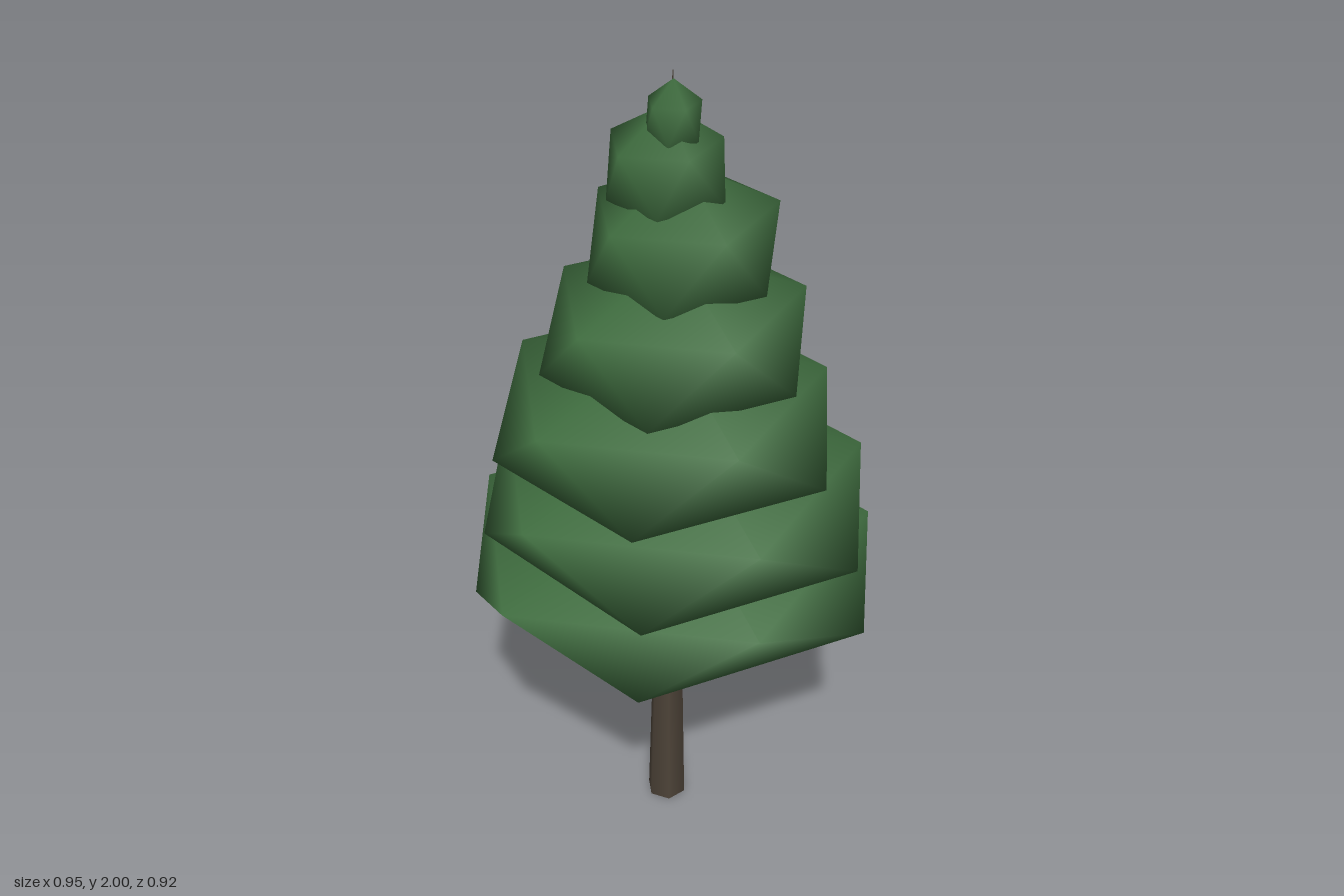
import * as THREE from 'three';

const foliageMat = new THREE.MeshStandardMaterial({ color: 0x3f6d3f });
foliageMat.name = 'foliage green';
const barkMat = new THREE.MeshStandardMaterial({ color: 0x4d4338 });
barkMat.name = 'bark brown';

// Boughs from bottom to top. Rings are [centre x, centre z, radius x, radius z].
const boughs = [
  { y: 0.762, h: 0.19, upper: [-0.02, 0.015, 0.495, 0.468], lower: [0.02, -0.015, 0.495, 0.468] },
  { y: 0.972, h: 0.205, upper: [-0.005, 0.035, 0.445, 0.426], lower: [0.016, 0.025, 0.461, 0.436] },
  { y: 1.197, h: 0.205, upper: [-0.025, 0.052, 0.37, 0.355], lower: [-0.015, 0.055, 0.4, 0.363] },
  { y: 1.4, h: 0.19, upper: [0.008, 0.025, 0.287, 0.273], lower: [0.001, 0.042, 0.301, 0.276] },
  { y: 1.6, h: 0.185, upper: [0.025, -0.002, 0.21, 0.197], lower: [0.022, 0.005, 0.207, 0.19] },
  { y: 1.775, h: 0.145, upper: [-0.017, 0.002, 0.127, 0.118], lower: [-0.005, 0.002, 0.135, 0.118] },
  { y: 1.898, h: 0.088, upper: [0, 0.03, 0.059, 0.055], lower: [0, 0.03, 0.059, 0.055] },
];

// Squashed icosahedron: two poles and two staggered five-point rings
function boughGeometry({ y, h, upper, lower }) {
  const cx = (upper[0] + lower[0]) / 2;
  const cz = (upper[1] + lower[1]) / 2;
  const pos = [cx, y + h, cz];
  const ring = ([x, z, rx, rz], height, turn) => {
    for (let i = 0; i < 5; i++) {
      const a = (i + turn) * Math.PI * 0.4;
      pos.push(x + rx * Math.cos(a), height, z + rz * Math.sin(a));
    }
  };
  ring(upper, y + h * 0.447, 0);
  ring(lower, y - h * 0.447, 0.5);
  pos.push(cx, y - h, cz);

  const index = [];
  for (let i = 0; i < 5; i++) {
    const j = (i + 1) % 5;
    const u = 1 + i, un = 1 + j, l = 6 + i, ln = 6 + j;
    index.push(0, un, u, u, un, l, l, un, ln, 11, l, ln);
  }
  const geo = new THREE.BufferGeometry();
  geo.setAttribute('position', new THREE.Float32BufferAttribute(pos, 3));
  geo.setIndex(index);
  geo.computeVertexNormals();
  return geo;
}

// Six-sided trunk tapering to a thin tip above the boughs
function trunkGeometry() {
  const geo = new THREE.CylinderGeometry(0.001, 0.05, 2, 6);
  geo.translate(0, 1, 0);
  const p = geo.attributes.position;
  for (let i = 0; i < p.count; i++) {
    const t = p.getY(i) / 2;
    p.setX(i, p.getX(i) - 0.016 * (1 - t)); // slight lean
    p.setZ(i, p.getZ(i) + 0.02);
  }
  return geo;
}

export function createModel() {
  const tree = new THREE.Group();
  tree.name = 'pineTree';

  const trunk = new THREE.Mesh(trunkGeometry(), barkMat);
  trunk.name = 'trunk';
  tree.add(trunk);

  const foliage = new THREE.Group();
  foliage.name = 'foliage';
  boughs.forEach((b, i) => {
    const mesh = new THREE.Mesh(boughGeometry(b), foliageMat);
    mesh.name = `bough${i + 1}`;
    foliage.add(mesh);
  });
  tree.add(foliage);
  return tree;
}
